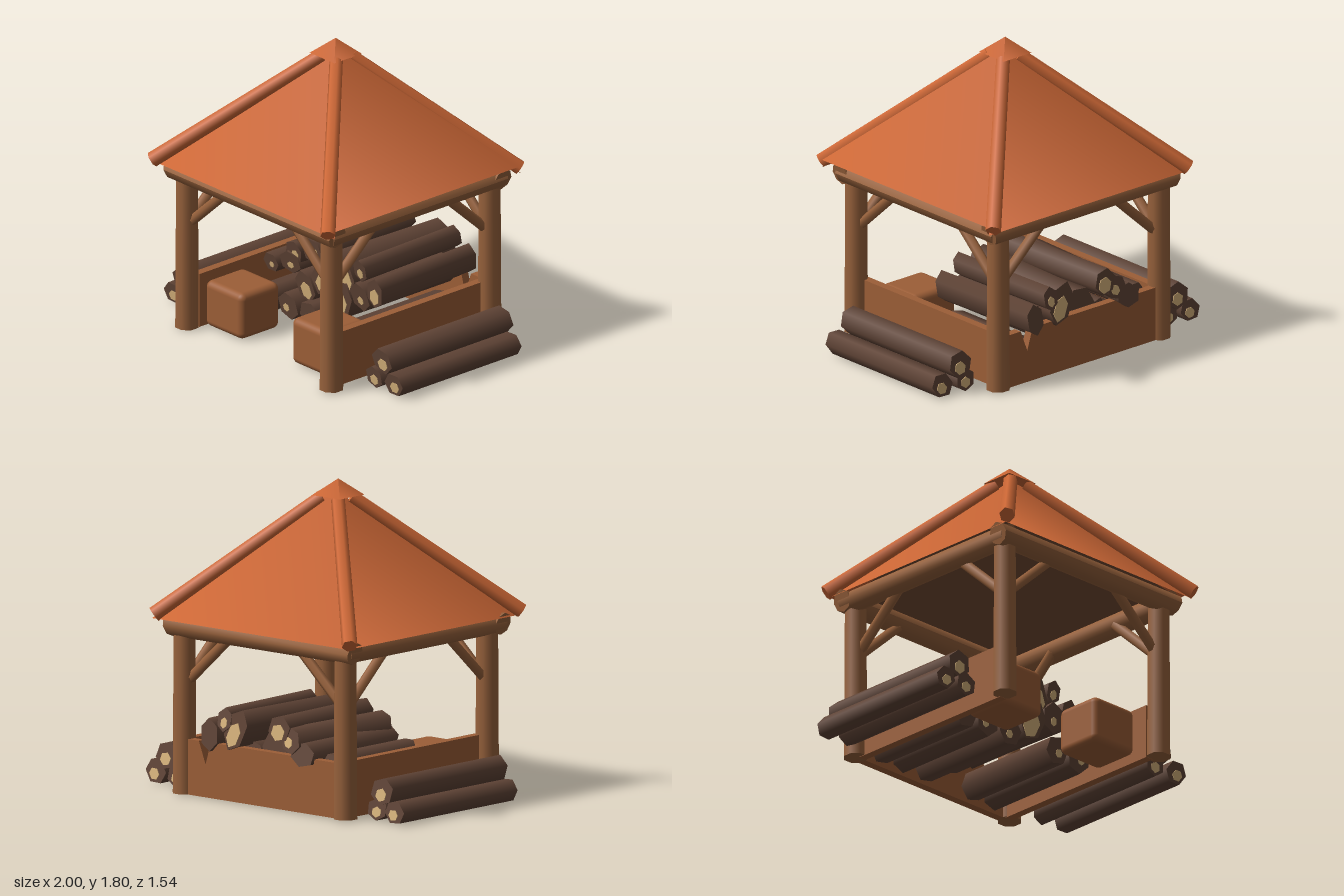
import * as THREE from 'three';
import { RoundedBoxGeometry } from 'three/addons/geometries/RoundedBoxGeometry.js';

const mat = (name, color, side = THREE.FrontSide) => {
  const m = new THREE.MeshStandardMaterial({ color, side });
  m.name = name;
  return m;
};

export function createModel() {
  const group = new THREE.Group();
  const roofMat = mat('roof orange', 0xce6836, THREE.DoubleSide);
  const wood = mat('timber brown', 0x98623c);
  const plank = mat('plank brown', 0x9c5e37);
  const bark = mat('dark bark', 0x604436);
  const cut = mat('cut wood', 0xd8b47c);
  const lining = mat('roof lining', 0x744a32, THREE.BackSide);

  const add = (name, geo, material, x = 0, y = 0, z = 0, parent = group) => {
    const m = new THREE.Mesh(geo, material);
    m.name = name;
    m.position.set(x, y, z);
    parent.add(m);
    return m;
  };
  // round pole between two points
  const pole = (name, a, b, r0, r1, material, sides = 8) => {
    const p = new THREE.Vector3(...a), q = new THREE.Vector3(...b);
    const d = q.clone().sub(p);
    const m = add(name, new THREE.CylinderGeometry(r1, r0, d.length(), sides), material);
    m.position.copy(p).add(q).multiplyScalar(0.5);
    m.quaternion.setFromUnitVectors(new THREE.Vector3(0, 1, 0), d.normalize());
  };

  // posts and corner braces
  const X = [-0.62, 0.6], Z = [0.585, -0.625];
  for (const x of X) for (const z of Z) {
    const g = new THREE.CylinderGeometry(0.066, 0.071, 0.92, 8).rotateY(Math.PI / 8);
    add('post', g, wood, x, 0.47, z);
    const sx = -Math.sign(x), sz = -Math.sign(z);
    pole('brace', [x + sx * 0.03, 0.66, z], [x + sx * 0.35, 0.95, z], 0.03, 0.03, wood, 6);
    pole('brace', [x, 0.66, z + sz * 0.03], [x, 0.95, z + sz * 0.35], 0.03, 0.03, wood, 6);
  }

  // top beams, with ends slanted so that the upper edge is longer
  const beam = (length) => {
    const g = new THREE.CylinderGeometry(0.065, 0.065, length, 8).rotateZ(Math.PI / 2);
    const p = g.attributes.position;
    for (let i = 0; i < p.count; i++) p.setX(i, p.getX(i) + Math.sign(p.getX(i)) * p.getY(i) * 0.25);
    g.computeVertexNormals();
    return g;
  };
  add('frontBeam', beam(1.4), wood, -0.01, 0.972, 0.62);
  add('backBeam', beam(1.4), wood, -0.01, 0.972, -0.645);
  for (const x of [-0.65, 0.635]) add('sideBeam', beam(1.33).rotateY(Math.PI / 2), wood, x, 0.972, -0.012);

  // pyramid roof whose left sheet lies over the ridge poles
  const pyramid = (half, height, open) =>
    new THREE.ConeGeometry(half * Math.SQRT2, height, 4, 1, open).rotateY(Math.PI / 4);
  const sheets = pyramid(0.74, 0.74, true).toNonIndexed();
  const sp = sheets.attributes.position;
  for (let i = 0; i < sp.count; i += 3) {
    if (sp.getX(i) + sp.getX(i + 1) + sp.getX(i + 2) < 0.5) continue;
    for (let k = i; k < i + 3; k++) sp.setY(k, sp.getY(k) + (sp.getY(k) > 0 ? 0.015 : 0.045));
  }
  add('roof', sheets, roofMat, 0.015, 1.01 + 0.37, -0.01).scale.set(1.005, 1, 0.965);
  add('roofLining', pyramid(0.67, 0.66, true), lining, 0.01, 1.01 + 0.33, -0.01);

  // ridge poles and cap
  for (const x of [-0.75, 0.735]) for (const z of [-0.735, 0.735])
    pole('ridgePole', [x, 1.035, z], [x * 0.08, 1.705, z * 0.08], 0.045, 0.04, roofMat, 6);
  add('roofCap', pyramid(0.105, 0.095, false), roofMat, -0.01, 1.7625, 0);

  // low plank walls, the back one notched
  const back = new THREE.Shape([[-0.6, 0.01], [0.58, 0.01], [0.58, 0.33], [0.46, 0.33], [0.41, 0.2],
    [0.37, 0.33], [-0.6, 0.33]].map(([x, y]) => new THREE.Vector2(x, y)));
  add('backWall', new THREE.ExtrudeGeometry(back, { depth: 0.05, bevelEnabled: false }), plank, 0, 0, -0.66);
  for (const x of [-0.59, 0.57]) add('sideWall', new THREE.BoxGeometry(0.05, 0.325, 1.14), plank, x, 0.17, -0.03);

  // rounded wooden blocks at the entrance
  for (const x of [-0.4, 0.33])
    add('block', new RoundedBoxGeometry(0.32, 0.28, 0.3, 3, 0.04), plank, x, 0.15, 0.36);

  // log along z: six-sided bark with slanted ends, and a pale cut face low on the chosen ends
  const log = (x, y, zFront, zBack, rx, ry, roll, yaw = 0, slant = 0.15, pale = 0.48, ends = [1, -1]) => {
    const g = new THREE.Group();
    g.name = 'log';
    const L = zFront - zBack;
    const shear = new THREE.Matrix4().set(1, 0, 0, 0, 0, 1, 0, 0, 0, slant, 1, 0, 0, 0, 0, 1);
    const prism = (r, length, drop, z) => new THREE.CylinderGeometry(r, r, length, 6)
      .rotateX(Math.PI / 2).translate(0, drop, z).scale(rx, ry, 1).rotateZ(roll).applyMatrix4(shear);
    add('logBark', prism(1, L, 0, 0), bark, 0, 0, 0, g);
    for (const s of ends) add('logEnd', prism(pale, 0.008, -0.25, s * L / 2), cut, 0, 0, 0, g);
    g.position.set(x, y, (zFront + zBack) / 2);
    g.rotation.y = yaw;
    group.add(g);
  };

  // outside stacks
  log(0.81, 0.185, 0.39, -0.54, 0.085, 0.08, 0.3);
  log(0.755, 0.075, 0.4, -0.52, 0.07, 0.068, 0.1);
  log(0.92, 0.078, 0.4, -0.51, 0.08, 0.07, 0.5);
  log(-0.83, 0.18, 0.43, -0.55, 0.085, 0.08, 0.2);
  log(-0.925, 0.07, 0.42, -0.55, 0.075, 0.065, 0.4);
  log(-0.775, 0.07, 0.43, -0.53, 0.075, 0.065, 0);

  // pile inside: x, y, radii, roll, yaw, slant, size of the pale face
  const pile = [
    [-0.15, 0.475, 0.08, 0.08, 0.3, 0.04, 0.1, 0.62], [-0.27, 0.42, 0.08, 0.07, 0.8, -0.05, 0.2, 0.42],
    [-0.33, 0.35, 0.09, 0.07, 0.2, 0.03, 0.2, 0.3], [-0.05, 0.33, 0.1, 0.12, -0.5, 0.05, 0.1, 0.5],
    [0.15, 0.43, 0.08, 0.13, 0.4, -0.04, 0.1, 0.6], [0.26, 0.48, 0.055, 0.07, 0, 0.03, 0.2, 0.45],
    [0.38, 0.38, 0.065, 0.095, -0.1, 0.04, 0.1, 0.55], [0.11, 0.25, 0.09, 0.13, -0.4, 0, 0.1, 0.66],
    [-0.19, 0.24, 0.08, 0.1, 0.3, 0, 0.15, 0.55], [0.27, 0.32, 0.08, 0.09, 0.2, 0, 0.2, 0.3],
    [-0.48, 0.3, 0.065, 0.06, 0.5, 0, 0.2, 0.3],
  ];
  for (const [x, y, ...shape] of pile)
    log(x, y, 0.07, y > 0.34 ? -0.68 : -0.59, ...shape, y > 0.4 ? [1, -1] : [1]);
  for (const x of [-0.46, -0.29, -0.11, 0.26, 0.43])
    log(x, 0.1, 0.11, -0.58, 0.085, 0.085, x * 3, 0, 0.15, 0.3, [1]);

  return group;
}
